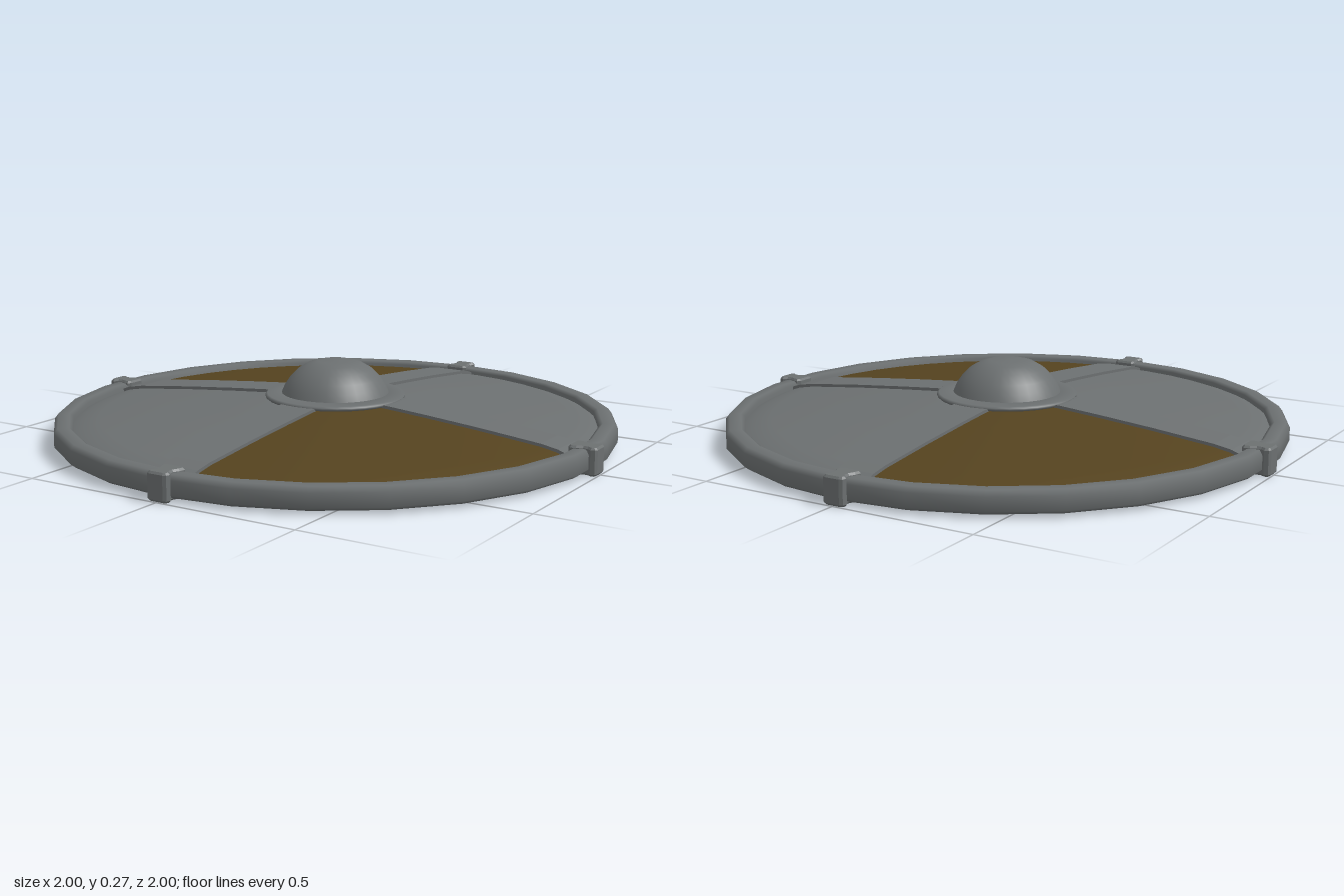
import * as THREE from 'three';

const mat = (name, color, side = THREE.FrontSide) => {
  const m = new THREE.MeshStandardMaterial({ color, side });
  m.name = name;
  return m;
};

export function createModel() {
  const metal = mat('grey metal', 0x6c7071);
  const wood = mat('brown wood', 0x55431f);
  const group = new THREE.Group();

  const add = (name, geometry, material, parent = group) => {
    const mesh = new THREE.Mesh(geometry, material);
    mesh.name = name;
    parent.add(mesh);
    return mesh;
  };
  const vecs = (pts) => pts.map(([x, y]) => new THREE.Vector2(x, y));
  const lathe = (pts, segments, start = 0, length = Math.PI * 2) =>
    new THREE.LatheGeometry(vecs(pts), segments, start, length);
  // side outline in x and y, given a width centred on z
  const slab = (pts, width) =>
    new THREE.ExtrudeGeometry(new THREE.Shape(vecs(pts)), { depth: width, bevelEnabled: false })
      .translate(0, 0, -width / 2);

  // domed board in four quarters of alternating colour, with a hole in the middle
  const boardTop = [[0.95, 0.045], [0.92, 0.058], [0.88, 0.072], [0.82, 0.083],
    [0.6, 0.106], [0.4, 0.124], [0.25, 0.136], [0.17, 0.138]];
  const boardUnder = boardTop.map(([r, y]) => [r, y - 0.02]).reverse();
  const board = [...boardUnder, ...boardTop, boardUnder[0]];
  for (let i = 0; i < 4; i++) {
    add('boardQuarter', lathe(board, 12, i * Math.PI / 2, Math.PI / 2), i % 2 ? metal : wood);
  }

  // faceted outer rim
  add('rim', lathe([[0.915, 0.02], [0.925, 0.01], [0.965, 0.01], [0.98, 0.022], [0.98, 0.068],
    [0.967, 0.085], [0.928, 0.085], [0.915, 0.075], [0.915, 0.02]], 26), metal);

  // waisted clasp outline, seen from above
  const clasp = new THREE.Shape(vecs([[0.9, -0.03], [0.91, -0.042], [0.93, -0.038], [0.95, -0.029],
    [0.965, -0.03], [0.98, -0.04], [0.994, -0.036], [0.999, -0.025], [0.999, 0.025], [0.994, 0.036],
    [0.98, 0.04], [0.965, 0.03], [0.95, 0.029], [0.93, 0.038], [0.91, 0.042], [0.9, 0.03]]));
  const claspGeometry = new THREE.ExtrudeGeometry(clasp, {
    depth: 0.08, bevelThickness: 0.007, bevelSize: 0.006, bevelOffset: -0.006, bevelSegments: 1,
  }).rotateX(-Math.PI / 2).translate(0, 0.007, 0);

  // cross straps lying on the board, each ending at a clasp
  const strap = [...boardTop.slice(1, 7).map(([r, y]) => [r, y + 0.01]),
    [0.2, 0.147], [0.2, 0.135], [0.4, 0.118], [0.82, 0.078], [0.92, 0.05]];
  const strapGeometry = slab(strap, 0.134);
  for (let i = 0; i < 4; i++) {
    const arm = new THREE.Group();
    arm.name = 'crossArm';
    arm.rotation.y = i * Math.PI / 2;
    add('strap', strapGeometry, metal, arm);
    add('clasp', claspGeometry, metal, arm);
    group.add(arm);
  }

  // hollow boss with its flange
  add('bossFlange', lathe([[0.17, 0.138], [0.24, 0.138], [0.245, 0.143], [0.245, 0.149],
    [0.238, 0.154], [0.18, 0.156], [0.17, 0.138]], 32), metal);
  add('bossDome', lathe([[0.19, 0.15], [0.178, 0.178], [0.158, 0.208], [0.13, 0.236],
    [0.095, 0.257], [0.06, 0.266], [0, 0.268]], 32), metal);
  add('bossInside', lathe([[0, 0.256], [0.06, 0.254], [0.095, 0.245], [0.13, 0.222],
    [0.158, 0.19], [0.17, 0.15]], 32), metal);

  // wooden battens under the board, flat below and wedged up into the dome
  for (const z of [-0.48, 0.48]) {
    add('sideBatten', slab([[-0.62, 0.062], [0.62, 0.062], [0.62, 0.075], [0.3, 0.098],
      [0, 0.108], [-0.3, 0.098], [-0.62, 0.075]], 0.075), wood).position.z = z;
  }
  const half = slab([[0.16, 0.052], [0.87, 0.052], [0.87, 0.065], [0.6, 0.094], [0.16, 0.128]], 0.09);
  add('gripBatten', half, wood);
  add('gripBatten', half, wood).rotation.y = Math.PI;
  add('grip', new THREE.BoxGeometry(0.34, 0.03, 0.088), wood).position.y = 0.0675;

  return group;
}
